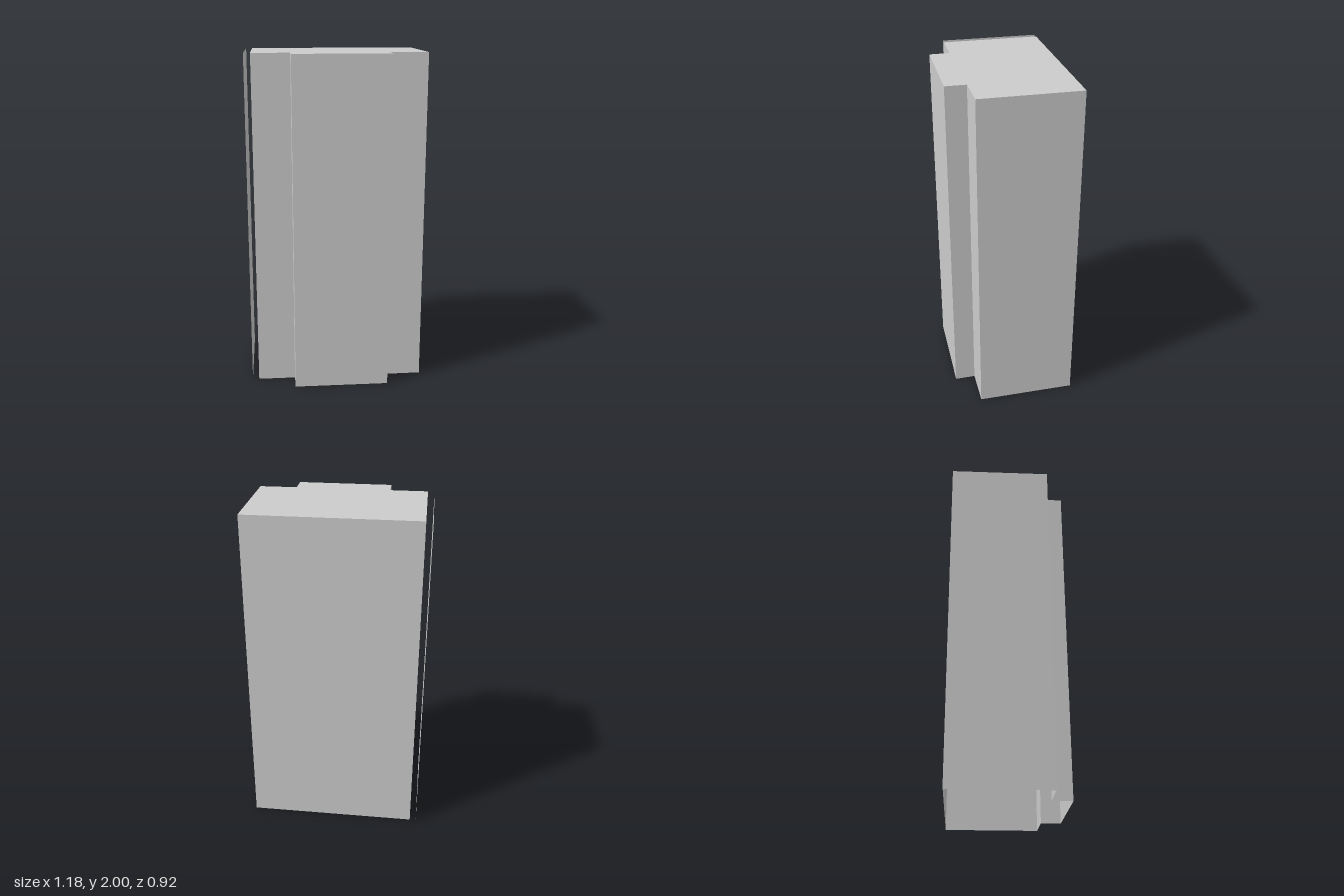
import * as THREE from 'three';

const HEIGHT = 2;
// Floor plan corners (x, z): a rotated block with a projecting front bay
const PLAN = [
  [-0.383, -0.45], [0.587, -0.155], [0.417, 0.403], [0.203, 0.34],
  [0.168, 0.457], [-0.373, 0.292], [-0.339, 0.177], [-0.553, 0.112],
];
const NAMES = [
  'backWall', 'leftWall', 'frontWallLeft', 'bayLeftWall',
  'bayFrontWall', 'bayRightWall', 'frontWallRight', 'rightWall',
];

export function createModel() {
  const group = new THREE.Group();
  group.name = 'building';
  const material = new THREE.MeshStandardMaterial({
    color: 0xcccccc, flatShading: true, side: THREE.DoubleSide,
  });

  // Upright sheet between two plan corners, pushed outward by an offset
  function addWall(name, [x0, z0], [x1, z1], offset = 0) {
    const dx = x1 - x0, dz = z1 - z0, length = Math.hypot(dx, dz);
    const nx = dz / length, nz = -dx / length;
    const wall = new THREE.Mesh(new THREE.PlaneGeometry(length, HEIGHT), material);
    wall.name = name;
    wall.position.set((x0 + x1) / 2 + nx * offset, HEIGHT / 2, (z0 + z1) / 2 + nz * offset);
    wall.rotation.y = Math.atan2(nx, nz);
    group.add(wall);
  }

  // Walls, open at the bottom
  PLAN.forEach((p, i) => addWall(NAMES[i], p, PLAN[(i + 1) % PLAN.length]));

  // Thin panel standing just clear of the right wall
  addWall('sidePanel', PLAN[7], PLAN[0], 0.039);

  // Flat roof
  const outline = new THREE.Shape(PLAN.map(([x, z]) => new THREE.Vector2(x, -z)));
  const roof = new THREE.Mesh(new THREE.ShapeGeometry(outline).rotateX(-Math.PI / 2), material);
  roof.name = 'roof';
  roof.position.y = HEIGHT;
  group.add(roof);

  return group;
}
